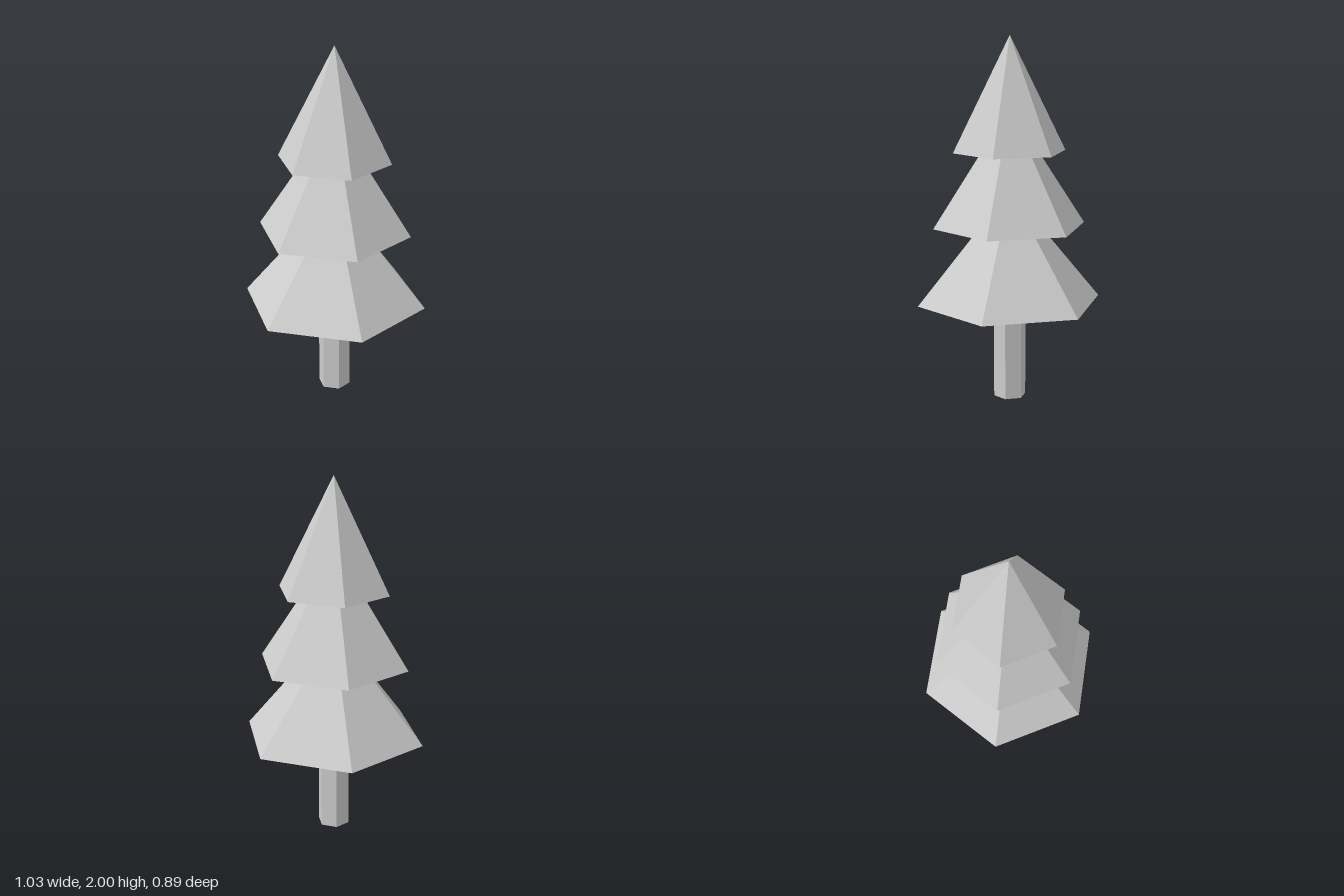
import * as THREE from 'three';

const SIDES = 6;
const START = Math.PI / 6; // puts a corner on the x axis

export function createModel() {
  const tree = new THREE.Group();
  tree.name = 'pineTree';

  const grey = new THREE.MeshStandardMaterial({ color: 0xcccccc, flatShading: true });
  grey.name = 'plainGrey';

  // Adds one part standing on the given base height
  const add = (name, geometry, base, height) => {
    const mesh = new THREE.Mesh(geometry, grey);
    mesh.name = name;
    mesh.position.y = base + height / 2;
    tree.add(mesh);
  };

  // Hexagonal trunk
  add('trunk', new THREE.CylinderGeometry(0.09, 0.09, 0.545, SIDES, 1, false, START), 0, 0.545);

  // Foliage tiers: base height, apex height, base radius
  const tiers = [
    ['lowerFoliage', 0.545, 1.17, 0.515],
    ['middleFoliage', 0.97, 1.62, 0.425],
    ['upperFoliage', 1.378, 2, 0.313],
  ];
  for (const [name, base, apex, radius] of tiers) {
    const height = apex - base;
    add(name, new THREE.ConeGeometry(radius, height, SIDES, 1, false, START), base, height);
  }

  return tree;
}
